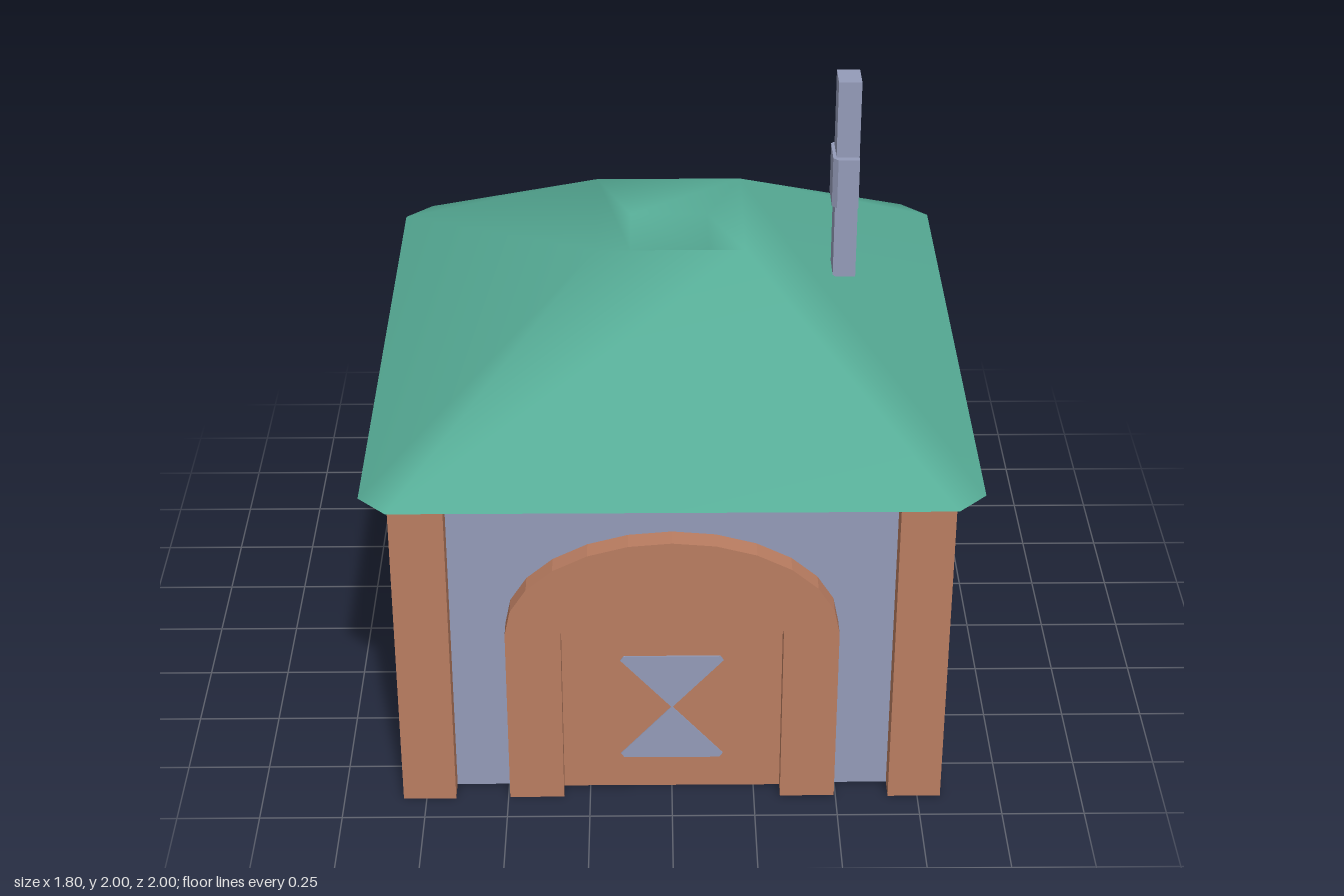
import * as THREE from 'three';
import { mergeVertices } from 'three/addons/utils/BufferGeometryUtils.js';

const H = 1.085; // wall height

export function createModel() {
  const house = new THREE.Group();
  house.name = 'house';
  const mat = (name, color) => Object.assign(new THREE.MeshStandardMaterial({ color }), { name });
  const wood = mat('wood', 0xba7d61);
  const stone = mat('stone', 0x949bb8);
  const green = mat('roofGreen', 0x56ac96);

  const add = (parent, name, geo, material, x = 0, y = 0, z = 0) => {
    const m = new THREE.Mesh(geo, material);
    m.name = name;
    m.position.set(x, y, z);
    parent.add(m);
    return m;
  };
  const box = (parent, name, material, w, h, d, x, y, z) =>
    add(parent, name, new THREE.BoxGeometry(w, h, d), material, x, y, z);

  // Outline helpers
  const poly = (pts, Type = THREE.Shape) => new Type(pts.map(([x, y]) => new THREE.Vector2(x, y)));
  const rect = (hw, y0, y1, Type) => poly([[-hw, y0], [hw, y0], [hw, y1], [-hw, y1]], Type);
  const archPoints = (rx, top, spring = 0.6) => {
    const pts = [[rx, 0]];
    for (let i = 0; i <= 12; i++) {
      const a = (i / 12) * Math.PI;
      pts.push([rx * Math.cos(a), spring + (top - spring) * Math.sin(a)]);
    }
    pts.push([-rx, 0]);
    return pts;
  };
  // Slab of the given depth centred on local z
  const slab = (shape, depth) =>
    new THREE.ExtrudeGeometry(shape, { depth, bevelEnabled: false }).translate(0, 0, -depth / 2);

  // Window in a wall facing local +z; s scales its width
  const addWindow = (wall, s) => {
    const win = new THREE.Group();
    win.name = 'window';
    win.scale.x = s;
    wall.add(win);

    const surround = rect(0.455, 0.225, 0.865);
    surround.holes.push(rect(0.36, 0.275, 0.815, THREE.Path));
    add(win, 'windowSurround', slab(surround, 0.092), wood);

    const frame = rect(0.36, 0.275, 0.815);
    frame.holes.push(rect(0.277, 0.325, 0.768, THREE.Path));
    add(win, 'windowFrame', slab(frame, 0.19), wood);

    for (const x of [-0.104, 0.104]) box(win, 'uprightBar', wood, 0.046, 0.45, 0.04, x, 0.547, 0.04);
    for (const y of [0.48, 0.605]) box(win, 'crossBar', wood, 0.56, 0.026, 0.03, 0, y, 0.04);

    // Shutters swung open into the room
    for (const side of [-1, 1]) {
      const shutter = new THREE.Group();
      shutter.name = 'shutter';
      shutter.position.set(side * 0.34, 0.547, -0.11);
      shutter.rotation.y = side * Math.PI / 4;
      win.add(shutter);
      box(shutter, 'shutterPanel', wood, 0.3, 0.445, 0.025, side * 0.15, 0, 0);
      for (const y of [-0.13, 0.16])
        box(shutter, 'shutterHinge', stone, 0.06, 0.04, 0.034, side * 0.07, y, 0);
    }
  };

  // Walls: each built facing +z at its centre plane, then turned into place
  const addWall = (name, halfWidth, distance, angle, hole) => {
    const wall = new THREE.Group();
    wall.name = name;
    wall.rotation.y = angle;
    house.add(wall);
    const inner = new THREE.Group();
    inner.position.z = distance;
    inner.name = name + 'Parts';
    wall.add(inner);
    let shape;
    if (hole === 'door') {
      shape = poly([[-halfWidth, 0], ...archPoints(0.49, 0.915).reverse(),
        [halfWidth, 0], [halfWidth, H], [-halfWidth, H]]);
    } else {
      shape = rect(halfWidth, 0, H);
      shape.holes.push(rect(0.455 * hole, 0.225, 0.865, THREE.Path));
    }
    add(inner, name + 'Panel', slab(shape, 0.08), stone);
    return inner;
  };
  addWindow(addWall('leftWall', 0.84, 0.71, Math.PI / 2, 1), 1);
  addWindow(addWall('rightWall', 0.84, 0.71, -Math.PI / 2, 1), 1);
  addWindow(addWall('backWall', 0.75, 0.8, Math.PI, 0.93), 0.93);
  const front = addWall('frontWall', 0.75, 0.8, 0, 'door');

  // Arched door and its frame
  const frameShape = poly([...archPoints(0.495, 0.92), ...archPoints(0.33, 0.815).reverse()]);
  add(front, 'doorFrame', slab(frameShape, 0.21), wood);
  add(front, 'door', slab(poly(archPoints(0.335, 0.82)), 0.1), wood);
  for (const [y, tip] of [[0.485, 0.297], [0.11, 0.3]]) {
    const dir = Math.sign(tip - y);
    const tri = poly([[-0.145, y], [0.145, y], [0.155, y + dir * 0.015], [0, tip], [-0.155, y + dir * 0.015]]);
    add(front, 'doorOrnament', slab(tri, 0.108), stone);
  }

  // Corner posts
  for (const sx of [-1, 1]) for (const sz of [-1, 1])
    box(house, 'cornerPost', wood, 0.16, H, 0.18, sx * 0.74, H / 2, sz * 0.82);

  // Roof: clipped eave ring, square rim, sunken centre
  const corners = [[1, 1], [1, -1], [-1, -1], [-1, 1]];
  const ring = (x, z, y, clip) => corners.flatMap(([sx, sz], i) => {
    const a = [sx * (x - clip), y, sz * z], b = [sx * x, y, sz * (z - clip)];
    return i % 2 ? [b, a] : [a, b];
  });
  const rings = [ring(0.9, 1, H, 0.085), ring(0.225, 0.25, 1.54, 0), ring(0.12, 0.13, 1.475, 0)];
  const pos = [];
  const tri = (a, b, c) => {
    const same = (p, q) => p.every((v, k) => v === q[k]);
    if (!same(a, b) && !same(b, c) && !same(a, c)) pos.push(...a, ...b, ...c);
  };
  for (let r = 0; r < 2; r++) for (let i = 0; i < 8; i++) {
    const j = (i + 1) % 8, lo = rings[r], hi = rings[r + 1];
    tri(lo[i], lo[j], hi[j]);
    tri(lo[i], hi[j], hi[i]);
  }
  const floor = rings[2];
  tri(floor[0], floor[2], floor[4]);
  tri(floor[0], floor[4], floor[6]);
  let roof = new THREE.BufferGeometry();
  roof.setAttribute('position', new THREE.Float32BufferAttribute(pos, 3));
  roof = mergeVertices(roof);
  roof.computeVertexNormals();
  add(house, 'roof', roof, green);
  const under = new THREE.ShapeGeometry(poly(rings[0].map(([x, , z]) => [x, z]))).rotateX(Math.PI / 2);
  add(house, 'roofUnderside', under, green, 0, H, 0);

  // Chimney with a collar clipped on its inner side
  box(house, 'chimney', stone, 0.07, 0.65, 0.1, 0.54, 1.67, 0);
  const collar = poly([[0.575, -0.07], [0.575, 0.07], [0.51, 0.07], [0.495, 0.055], [0.495, -0.055], [0.51, -0.07]]);
  add(house, 'chimneyCollar', slab(collar, 0.16).rotateX(Math.PI / 2), stone, 0, 1.67, 0);

  return house;
}
